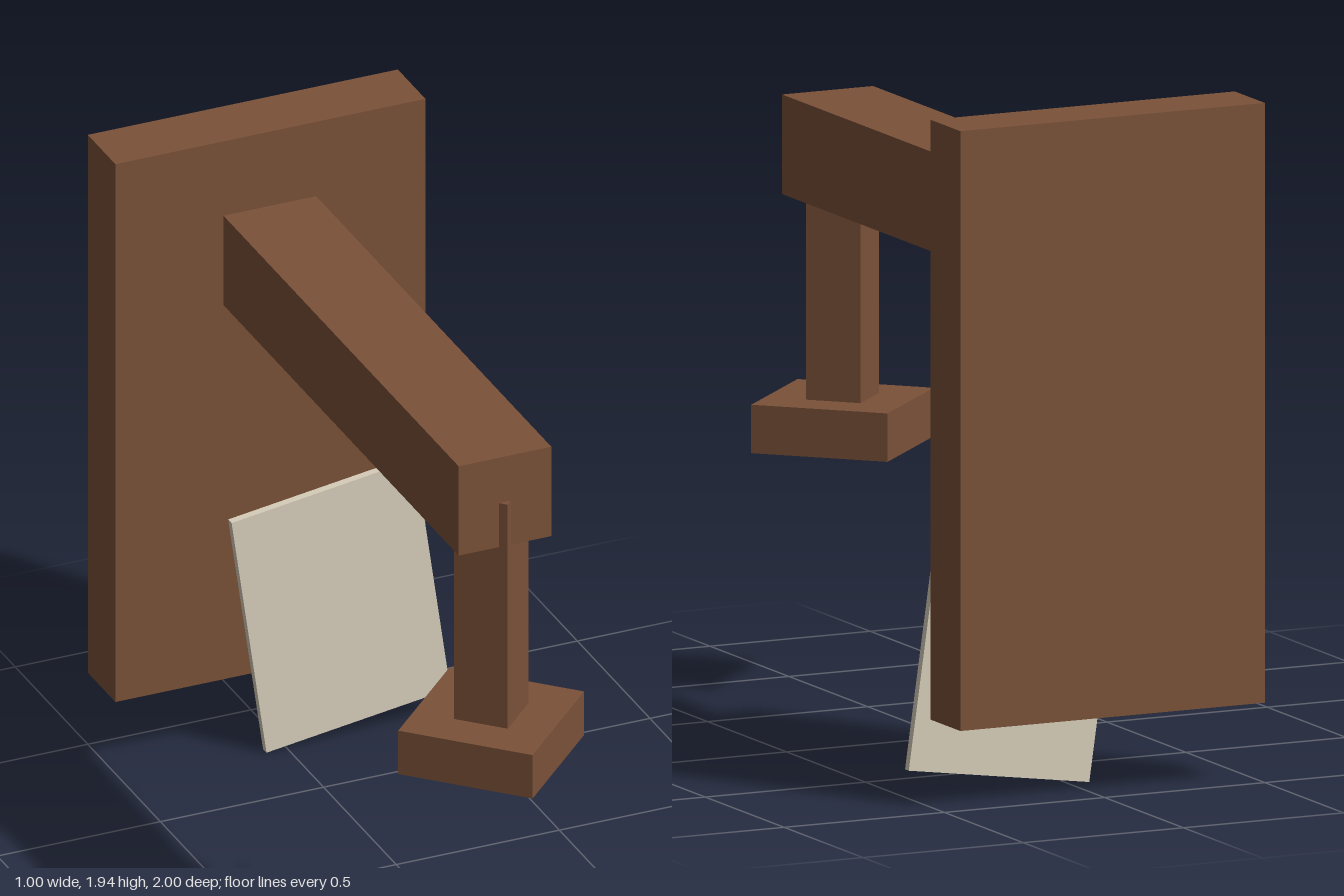
import * as THREE from 'three';

export function createModel() {
  const model = new THREE.Group();
  const wood = new THREE.MeshStandardMaterial({ color: 0x7a5138 });
  wood.name = 'brown wood';
  const paper = new THREE.MeshStandardMaterial({ color: 0xdad0bc });
  paper.name = 'pale paper';

  // Adds a named box given its size and centre
  function box(name, size, centre, material) {
    const mesh = new THREE.Mesh(new THREE.BoxGeometry(...size), material);
    mesh.name = name;
    mesh.position.set(...centre);
    model.add(mesh);
    return mesh;
  }

  // Upright board at the back, with a beam reaching forward from it
  box('backBoard', [0.95, 1.71, 0.19], [-0.025, 1.085, -0.905], wood);
  box('beam', [0.284, 0.284, 1.62], [-0.027, 1.562, 0], wood);

  // Hanging post and its foot block, both turned cornerwise
  const post = box('post', [0.161, 0.712, 0.161], [-0.027, 1.204, 0.715], wood);
  const foot = box('footBlock', [0.403, 0.138, 0.403], [-0.027, 0.779, 0.715], wood);
  post.rotation.y = foot.rotation.y = Math.PI / 4;

  // Tilted sheet standing in front of the board
  const sheet = box('sheet', [0.569, 0.761, 0.024], [0.165, 0.419, -0.763], paper);
  sheet.rotation.z = 0.141;

  return model;
}
